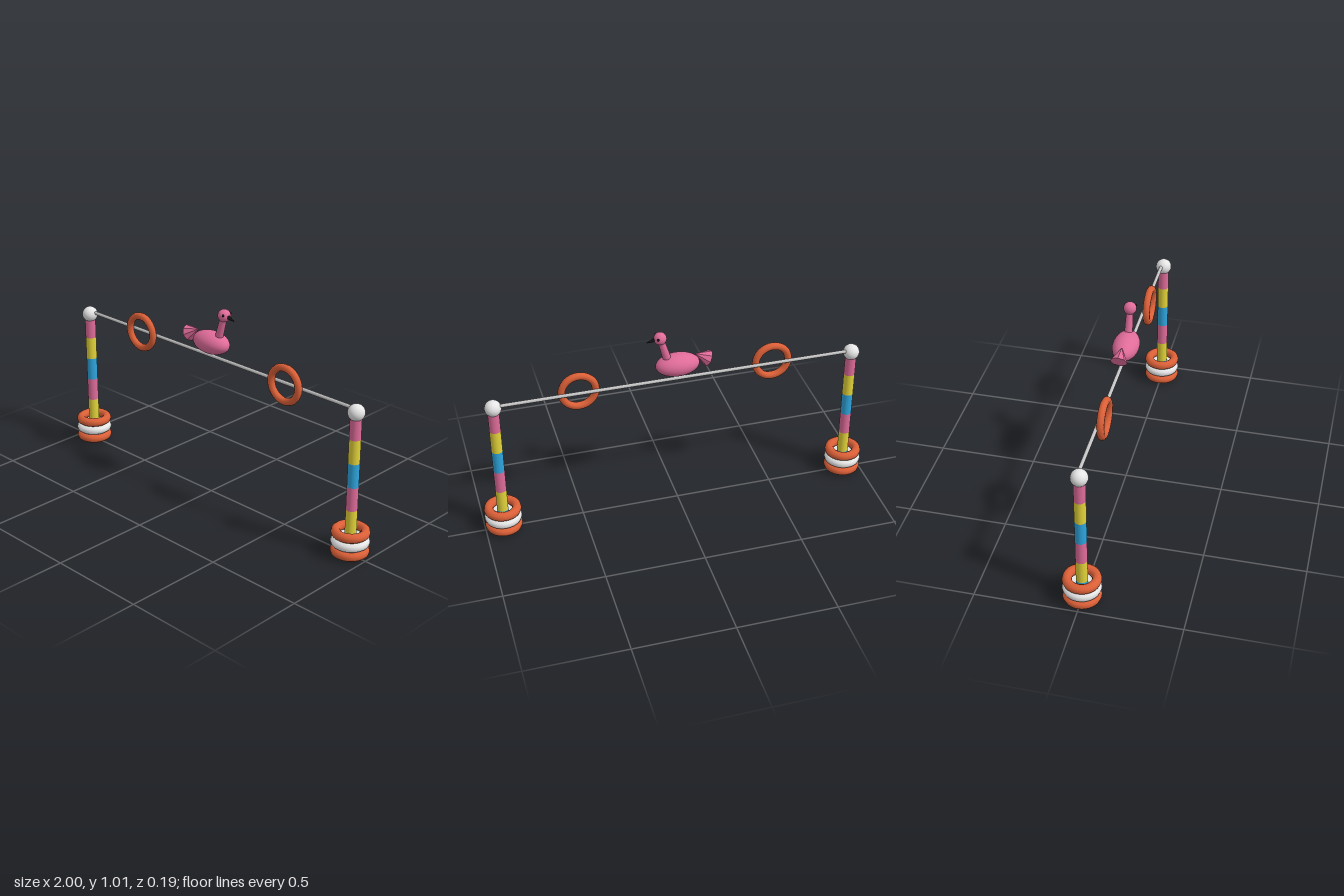
import * as THREE from 'three';

const mat = (name, color, extra = {}) => {
  const m = new THREE.MeshStandardMaterial({ color, ...extra });
  m.name = name;
  return m;
};

export function createModel() {
  const pink = mat('pink', 0xe06c9a);
  const pinkFlat = mat('pink faceted', 0xe06c9a, { flatShading: true });
  const yellow = mat('yellow', 0xe4d43a);
  const blue = mat('blue', 0x2ea6de);
  const orange = mat('orange', 0xdc6038);
  const white = mat('white', 0xe6e6e6);
  const grey = mat('bar grey', 0xc4c4c4);
  const black = mat('black', 0x151515);

  const model = new THREE.Group();
  const add = (parent, name, geometry, material, x = 0, y = 0, z = 0) => {
    const mesh = new THREE.Mesh(geometry, material);
    mesh.name = name;
    mesh.position.set(x, y, z);
    parent.add(mesh);
    return mesh;
  };

  // Cylinder or cone running from point a to point b
  const rod = (parent, name, a, b, ra, rb, material, sides = 20) => {
    const from = new THREE.Vector3(...a), to = new THREE.Vector3(...b);
    const dir = to.clone().sub(from);
    const mesh = add(parent, name, new THREE.CylinderGeometry(rb, ra, dir.length(), sides), material);
    mesh.position.copy(from).add(to).multiplyScalar(0.5);
    mesh.quaternion.setFromUnitVectors(new THREE.Vector3(0, 1, 0), dir.normalize());
    return mesh;
  };

  // Two striped poles standing in stacked rings
  const bands = [blue, yellow, pink, blue, yellow, pink];
  const rings = [orange, white, orange];
  for (const side of [1, -1]) {
    const post = new THREE.Group();
    post.name = side > 0 ? 'leftPost' : 'rightPost';
    post.position.x = side * 0.906;
    bands.forEach((m, i) =>
      add(post, 'poleBand', new THREE.CylinderGeometry(0.028, 0.028, 0.12, 24), m, 0, 0.06 + i * 0.12));
    rings.forEach((m, i) => {
      const ring = add(post, 'baseRing', new THREE.TorusGeometry(0.07, 0.0235, 10, 32), m, 0, 0.0265 + i * 0.048);
      ring.rotation.x = Math.PI / 2;
    });
    add(post, 'baseCore', new THREE.CylinderGeometry(0.055, 0.055, 0.09, 24), white, 0, 0.051);
    add(post, 'poleBall', new THREE.SphereGeometry(0.041, 24, 16), white, 0, 0.73);
    model.add(post);

    // Ring hung on the bar
    add(model, 'barRing', new THREE.TorusGeometry(0.0845, 0.0185, 10, 36), orange, side * 0.489, 0.743, 0.012);
  }

  // Crossbar
  rod(model, 'crossbar', [-0.906, 0.742, -0.008], [0.906, 0.742, -0.008], 0.009, 0.009, grey, 12);

  // Bird
  const bird = new THREE.Group();
  bird.name = 'bird';
  model.add(bird);
  add(bird, 'body', new THREE.SphereGeometry(1, 28, 18), pink, 0, 0.818).scale.set(0.11, 0.057, 0.065);
  rod(bird, 'neck', [0.045, 0.835, 0], [0.084, 0.97, 0], 0.021, 0.017, pink, 16);
  add(bird, 'head', new THREE.SphereGeometry(0.032, 20, 14), pink, 0.086, 0.978);
  rod(bird, 'beak', [0.108, 0.977, 0], [0.154, 0.963, 0], 0.012, 0.001, black, 10);
  for (const s of [1, -1]) {
    add(bird, 'eye', new THREE.SphereGeometry(0.006, 10, 8), black, 0.102, 0.987, s * 0.025);
  }
  // Faceted tail, narrow where it meets the body
  rod(bird, 'tail', [-0.154, 0.826, 0], [-0.09, 0.861, 0], 0.042, 0.002, pinkFlat, 8);

  return model;
}
